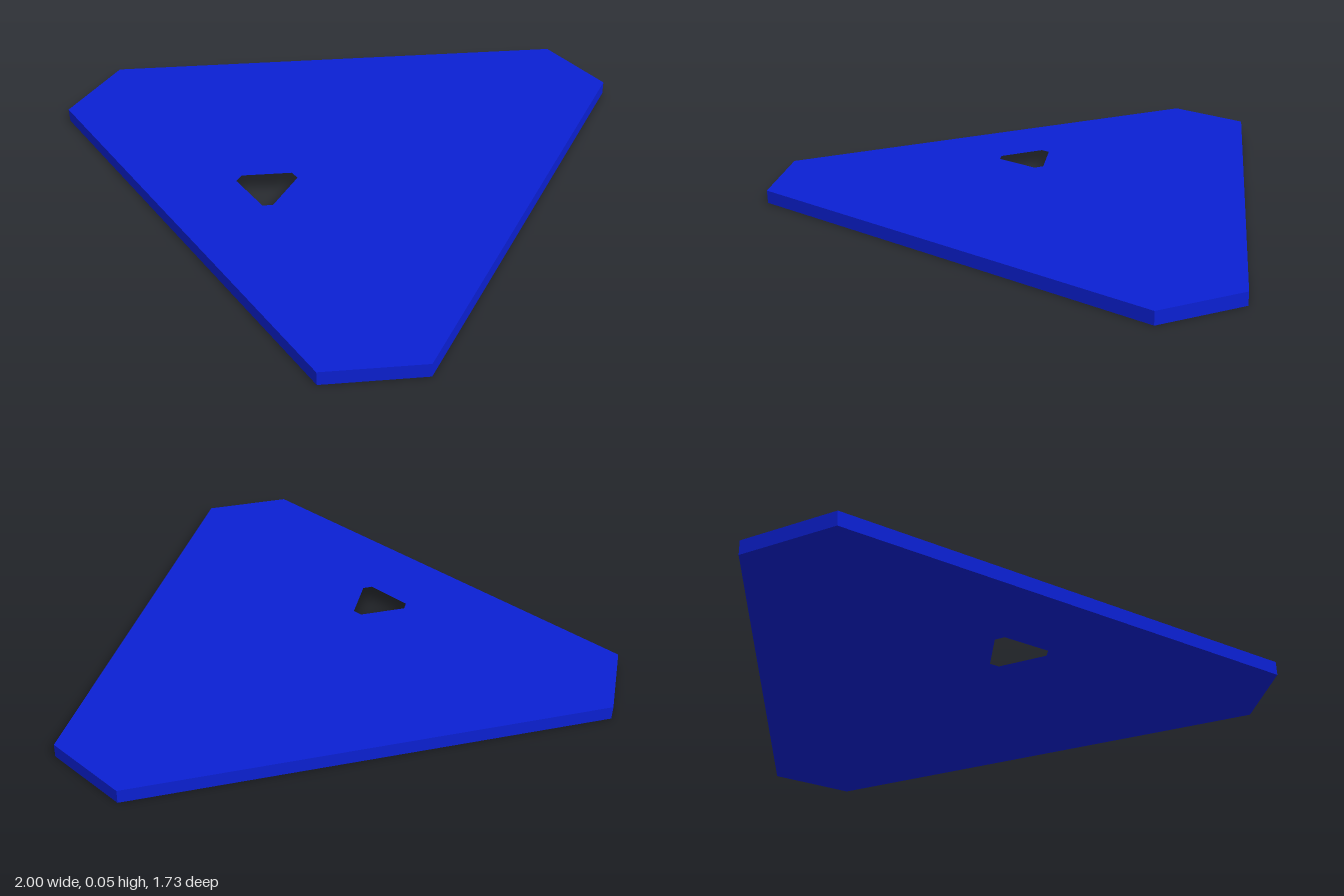
import * as THREE from 'three';

const THICKNESS = 0.048;

// Truncated triangle, symmetric in x; half holds [x, z] from back to front.
function outline(half) {
  const right = half.map(([x, z]) => new THREE.Vector2(x, -z));
  const left = half.map(([x, z]) => new THREE.Vector2(-x, -z)).reverse();
  return [...right, ...left];
}

export function createModel() {
  const group = new THREE.Group();
  group.name = 'triangularPlate';

  // Plate with clipped corners
  const shape = new THREE.Shape(outline([[0.16, -0.865], [1, 0.585], [0.84, 0.865]]));

  // Small hole of the same kind near the front edge
  shape.holes.push(new THREE.Path(outline([[0.018, 0.413], [0.103, 0.56], [0.086, 0.59]])));

  const geometry = new THREE.ExtrudeGeometry(shape, { depth: THICKNESS, bevelEnabled: false });
  geometry.rotateX(-Math.PI / 2); // lay flat, standing on y = 0

  const plate = new THREE.Mesh(geometry, new THREE.MeshStandardMaterial({ color: 0x0b20d4 }));
  plate.name = 'plate';
  group.add(plate);
  return group;
}
